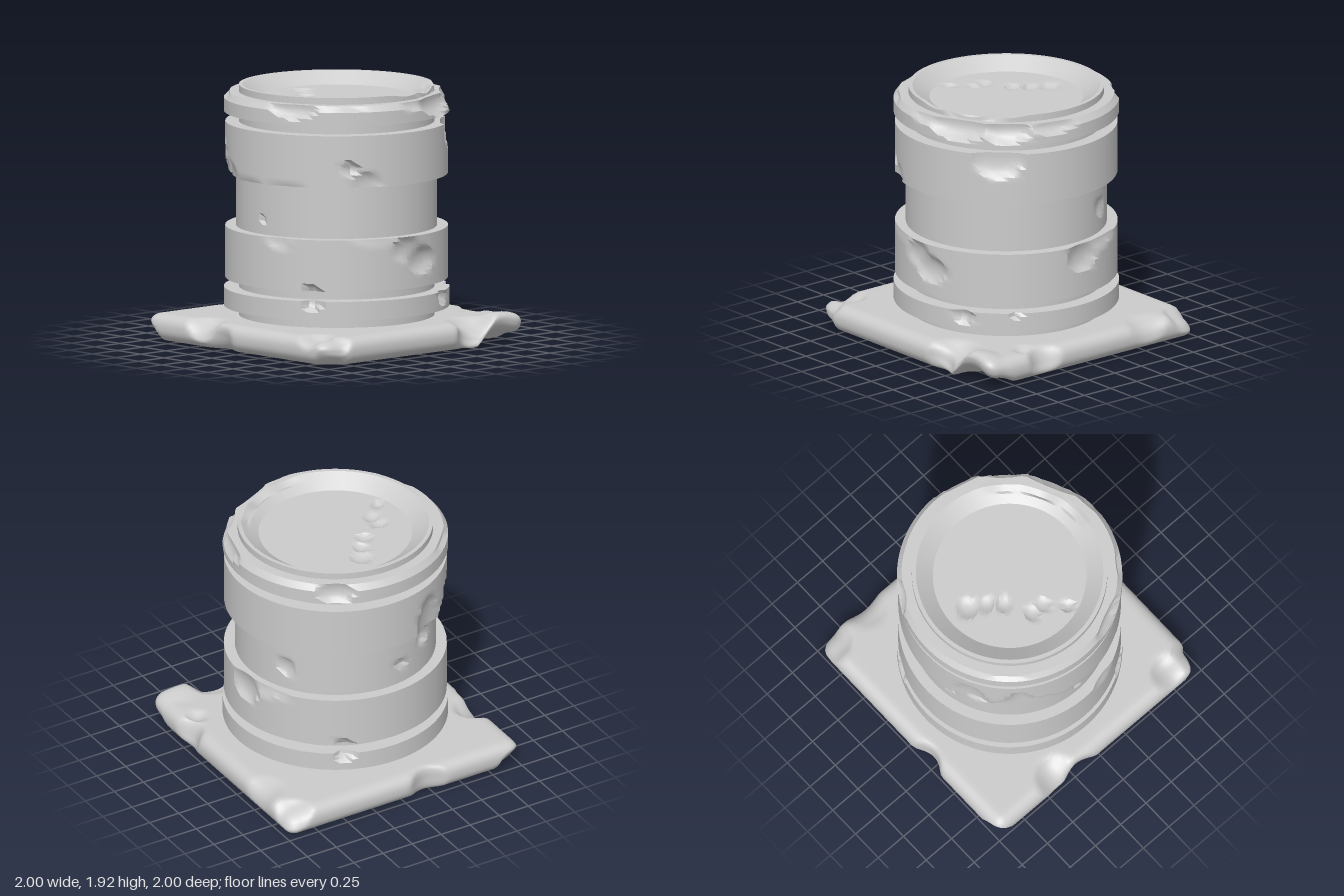
import * as THREE from 'three';
import { toCreasedNormals } from 'three/addons/utils/BufferGeometryUtils.js';

const SEGMENTS = 112;
const stone = new THREE.MeshStandardMaterial({ color: 0xcccccc });

// Splits a profile into short steps so chips have vertices to move.
function subdivide(profile, step = 0.03) {
  const out = [];
  profile.forEach(([r, y], i) => {
    if (i > 0) {
      const [r0, y0] = profile[i - 1];
      const n = Math.max(1, Math.ceil(Math.hypot(r - r0, y - y0) / step));
      for (let k = 1; k < n; k++) {
        out.push(new THREE.Vector2(r0 + (r - r0) * k / n, y0 + (y - y0) * k / n));
      }
    }
    out.push(new THREE.Vector2(r, y));
  });
  return out;
}

// Applies a rule to every vertex, then rebuilds the normals with sharp edges.
function sculpt(geometry, rule, crease = 0.55) {
  const pos = geometry.attributes.position;
  const p = new THREE.Vector3();
  for (let i = 0; i < pos.count; i++) {
    p.fromBufferAttribute(pos, i);
    rule(p);
    pos.setXYZ(i, p.x, p.y, p.z);
  }
  return toCreasedNormals(geometry, crease);
}

function addMesh(group, name, geometry) {
  const mesh = new THREE.Mesh(geometry, stone);
  mesh.name = name;
  group.add(mesh);
}

// Turned part; chips are [angle, y, half angle, half height, depth], angle 0 = front, + = left.
function turned(profile, chips = [], after) {
  const radius = Math.max(...profile.map(([r]) => r));
  const geometry = new THREE.LatheGeometry(subdivide(profile), SEGMENTS);
  return sculpt(geometry, (p) => {
    const r = Math.hypot(p.x, p.z);
    if (r < 1e-4) return;
    const angle = Math.atan2(p.x, p.z);
    let limit = r;
    for (const [a, y, w, h, depth] of chips) {
      const da = Math.atan2(Math.sin(angle - a), Math.cos(angle - a)) / w;
      const f = 1 - da * da - ((p.y - y) / h) ** 2;
      if (f > 0) limit = Math.min(limit, radius - depth * Math.sqrt(f));
    }
    p.x *= limit / r;
    p.z *= limit / r;
    if (after) after(p, angle, limit);
  });
}

const band = (r, y0, y1) => [[0.68, y0], [r, y0], [r, y1], [0.68, y1]];

// Square slab with rounded edges; notches are [x, y, z, size, push x, y, z].
function slab() {
  const notches = [
    [-1, 0.1, 0.2, 0.16, 0.07, 0, 0], [1, 0.1, -0.42, 0.14, -0.06, 0, 0],
    [0.95, 0.2, -0.52, 0.22, -0.05, -0.08, 0], [0.95, 0, -0.8, 0.28, -0.05, 0.09, 0.04],
    [0.45, 0.15, -1, 0.16, 0, -0.02, 0.07], [0.55, 0.2, -0.86, 0.09, 0, -0.04, 0],
    [-0.2, 0.06, 1, 0.16, 0, 0.01, -0.05], [-0.4, 0.2, 0.96, 0.17, 0, -0.06, -0.05],
    [0.76, 0.2, 0.9, 0.14, 0, -0.05, -0.04], [-0.93, 0.2, -0.95, 0.18, 0.05, -0.05, 0.03],
    [-0.55, 0.2, -0.97, 0.18, 0, -0.03, 0.03], [1, 0, 0.95, 0.18, -0.05, 0.02, -0.05],
    [-1, 0, 0.95, 0.16, 0.05, 0.02, -0.05], [0.97, 0.2, 0.9, 0.15, -0.04, -0.03, -0.04],
  ];
  const round = 0.09;
  const inner = new THREE.Vector3();
  const limit = new THREE.Vector3(1 - round, 0.1 - round, 1 - round);
  const low = limit.clone().negate();
  return sculpt(new THREE.BoxGeometry(2, 0.2, 2, 64, 10, 64), (p) => {
    inner.copy(p).clamp(low, limit);
    p.sub(inner).setLength(round).add(inner);
    p.y += 0.1;
    const { x, y, z } = p;
    for (const [nx, ny, nz, size, dx, dy, dz] of notches) {
      const d = ((x - nx) ** 2 + (y - ny) ** 2 + (z - nz) ** 2) / size ** 2;
      if (d >= 1) continue;
      const f = (1 - d) ** 1.3;
      p.x += dx * f;
      p.y += dy * f;
      p.z += dz * f;
    }
  }, 0.7);
}

// Worn rim lip and small pits in the dish floor, [x, z, size, depth].
const pits = [
  [-0.4, -0.02, 0.08, 0.03], [-0.28, 0.05, 0.06, 0.025], [-0.18, 0.14, 0.06, 0.025],
  [-0.07, 0.33, 0.06, 0.025], [0.03, 0.33, 0.06, 0.025], [0.16, 0.46, 0.05, 0.025],
];
function wearDish(p, angle, r) {
  if (r < 0.56) {
    for (const [x, z, size, depth] of pits) {
      const f = 1 - ((p.x - x) ** 2 + (p.z - z) ** 2) / size ** 2;
      if (f > 0) p.y = Math.min(p.y, 1.82 - depth * Math.sqrt(f));
    }
  } else if (p.y > 1.87) {
    const f = Math.max(0, 1 - ((angle - 2.05) / 0.65) ** 2);
    p.y -= f * (0.025 + 0.012 * Math.sin(angle * 13));
  }
}

export function createModel() {
  const group = new THREE.Group();
  addMesh(group, 'baseSlab', slab());

  addMesh(group, 'lowerNeck', turned([[0.72, 0.18], [0.72, 0.5]]));
  addMesh(group, 'lowerRing', turned(band(0.83, 0.27, 0.41), [
    [0.6, 0.4, 0.09, 0.07, 0.07], [2.05, 0.37, 0.09, 0.06, 0.05],
    [2.53, 0.41, 0.06, 0.05, 0.04], [4.25, 0.41, 0.09, 0.07, 0.06],
  ]));
  addMesh(group, 'lowerDrum', turned(band(0.82, 0.48, 0.865), [
    [0.6, 0.48, 0.09, 0.05, 0.05], [1.52, 0.77, 0.17, 0.09, 0.03],
    [1.7, 0.68, 0.17, 0.1, 0.045], [0.27, 0.865, 0.13, 0.08, 0.025],
    [1.2, 0.865, 0.25, 0.04, 0.012], [3.22, 0.78, 0.17, 0.12, 0.05],
    [3.4, 0.865, 0.35, 0.07, 0.03], [4.25, 0.48, 0.08, 0.04, 0.04],
  ]));

  addMesh(group, 'shaft', turned([[0.74, 0.85], [0.74, 1.27]], [
    [-1.05, 1.14, 0.1, 0.07, 0.04], [0, 0.97, 0.05, 0.035, 0.03],
    [-1.4, 1.02, 0.08, 0.04, 0.025], [3.65, 1.05, 0.09, 0.08, 0.03],
  ]));

  addMesh(group, 'upperDrum', turned(band(0.82, 1.255, 1.64), [
    [-1.1, 1.255, 0.17, 0.28, 0.05], [-0.64, 1.27, 0.12, 0.28, 0.055],
    [-0.6, 1.255, 0.32, 0.13, 0.04], [0.96, 1.39, 0.07, 0.06, 0.04],
    [1.1, 1.28, 0.14, 0.09, 0.03], [2.38, 1.62, 0.24, 0.17, 0.06],
    [-0.1, 1.255, 0.2, 0.03, 0.012], [0.35, 1.255, 0.2, 0.025, 0.01],
  ]));

  addMesh(group, 'topRing', turned(
    [[0.68, 1.715], [0.83, 1.715], [0.83, 1.815], [0.795, 1.86], [0.68, 1.86]], [
      [0.42, 1.84, 0.24, 0.08, 0.06], [2.0, 1.84, 0.32, 0.11, 0.09],
      [2.45, 1.83, 0.25, 0.1, 0.08], [2.9, 1.85, 0.25, 0.07, 0.05],
      [1.65, 1.86, 0.22, 0.06, 0.05], [4.17, 1.81, 0.16, 0.1, 0.06],
      [-0.75, 1.86, 0.3, 0.04, 0.045], [0.95, 1.86, 0.2, 0.04, 0.045],
    ]));

  // Upper neck continues into the rim and the shallow dish.
  addMesh(group, 'rimAndDish', turned(
    [[0.72, 1.62], [0.72, 1.91], [0.69, 1.91], [0.565, 1.82], [0, 1.82]],
    [[2.1, 1.91, 0.35, 0.05, 0.02]], wearDish));
  return group;
}
